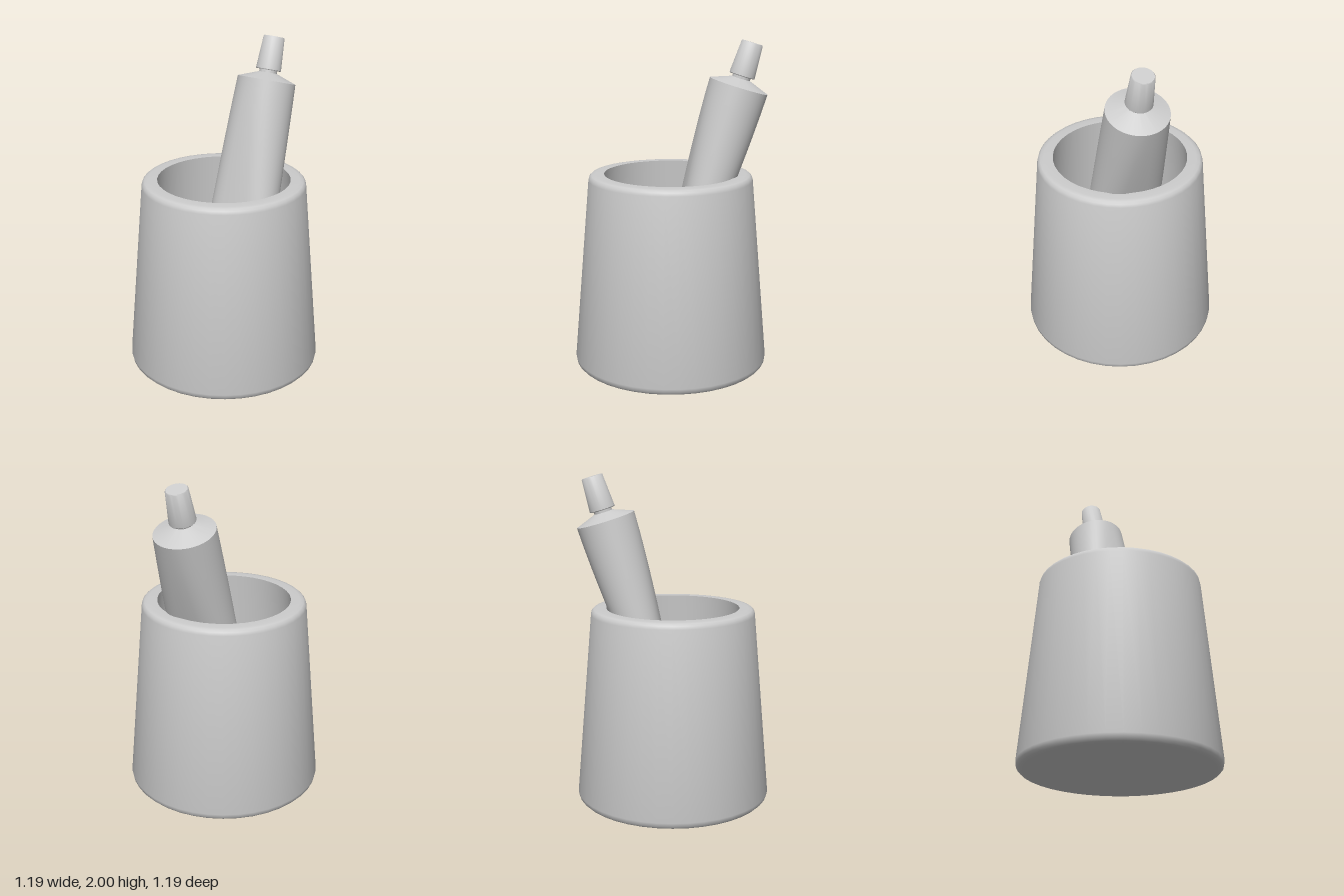
import * as THREE from 'three';
import { toCreasedNormals, mergeVertices } from 'three/addons/utils/BufferGeometryUtils.js';

const material = new THREE.MeshStandardMaterial({ color: 0xcccccc });

function addMesh(parent, name, geometry) {
  const mesh = new THREE.Mesh(geometry, material);
  mesh.name = name;
  parent.add(mesh);
  return mesh;
}

// Turned part from [radius, height] pairs, keeping hard edges sharp
function turned(profile, segments) {
  const points = profile.map(([r, y]) => new THREE.Vector2(r, y));
  return toCreasedNormals(new THREE.LatheGeometry(points, segments), 0.65);
}

// Tube body: a flat, nearly rectangular end that swells into a circle at y = 0
function tubeBody(length, radius, endHalfWidth, endHalfDepth) {
  const sides = 40, rows = 14, positions = [], index = [];
  const power = (v, e) => Math.sign(v) * Math.abs(v) ** e;
  for (let i = 0; i <= rows; i++) {
    const f = 1 - i / rows; // 1 at the flat end, 0 at the shoulder
    const depthBlend = f ** 1.4;
    for (let j = 0; j < sides; j++) {
      const a = (j / sides) * Math.PI * 2, c = Math.cos(a), s = Math.sin(a);
      const x = THREE.MathUtils.lerp(radius * c, endHalfWidth * power(c, 0.3), f);
      const z = THREE.MathUtils.lerp(radius * s, endHalfDepth * power(s, 0.3), depthBlend);
      positions.push(x, -length * f, z);
    }
  }
  for (let i = 0; i < rows; i++) {
    for (let j = 0; j < sides; j++) {
      const k = (j + 1) % sides;
      const a = i * sides + j, b = i * sides + k;
      index.push(a, a + sides, b, a + sides, b + sides, b);
    }
  }
  // Close the flat end
  const centre = positions.length / 3;
  positions.push(0, -length, 0);
  for (let j = 0; j < sides; j++) index.push(centre, j, (j + 1) % sides);

  const geometry = new THREE.BufferGeometry();
  geometry.setAttribute('position', new THREE.Float32BufferAttribute(positions, 3));
  geometry.setIndex(index);
  return mergeVertices(toCreasedNormals(geometry, 0.7));
}

export function createModel() {
  const model = new THREE.Group();
  model.name = 'cupWithTube';

  // Tapered cup with thick rounded rim and hollow inside
  addMesh(model, 'cup', turned([
    [0, 0], [0.555, 0], [0.578, 0.006], [0.592, 0.02], [0.597, 0.045],
    [0.5, 1.165], [0.495, 1.184], [0.482, 1.196], [0.46, 1.2], [0.405, 1.2],
    [0.497, 0.1], [0, 0.1],
  ], 40));

  // Squeeze tube leaning back against the rim, origin at its shoulder
  const tube = new THREE.Group();
  tube.name = 'tube';
  tube.position.set(0.035, 1.73, -0.405);
  tube.rotation.x = -0.297;
  model.add(tube);

  addMesh(tube, 'tubeBody', tubeBody(1.68, 0.18, 0.265, 0.022));
  addMesh(tube, 'shoulderAndNeck', turned([
    [0.18, 0], [0.055, 0.046], [0.055, 0.08],
  ], 40));
  addMesh(tube, 'cap', turned([
    [0, 0.062], [0.075, 0.062], [0.078, 0.066], [0.065, 0.262], [0.061, 0.267], [0, 0.267],
  ], 32));

  return model;
}
